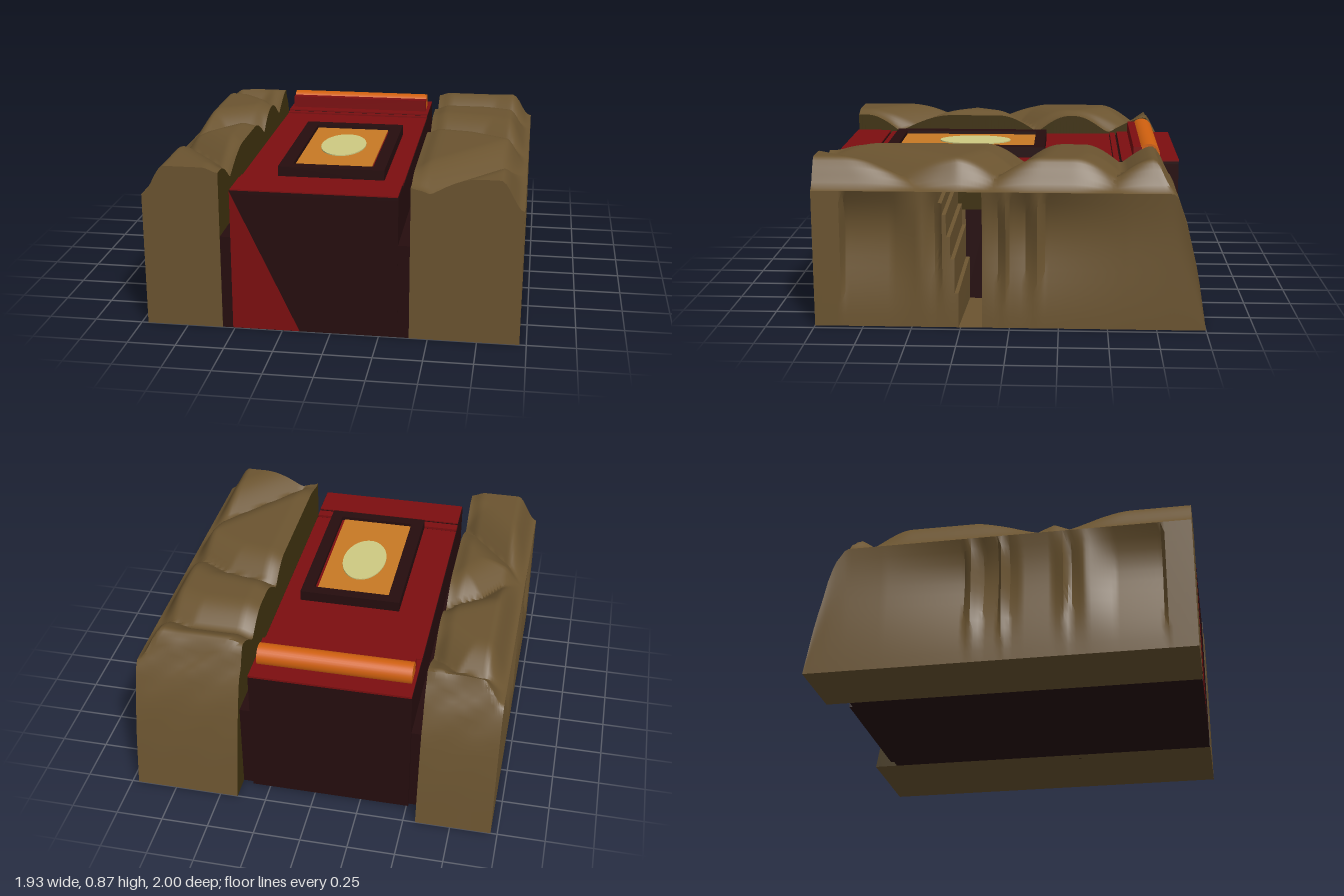
import * as THREE from 'three';
import { toCreasedNormals } from 'three/addons/utils/BufferGeometryUtils.js';

const mat = (name, color, side = THREE.FrontSide) => {
  const m = new THREE.MeshStandardMaterial({ color, side });
  m.name = name;
  return m;
};
const clamp = (v) => Math.min(1, Math.max(0, v));
const smooth = (v) => { const t = clamp(v); return t * t * (3 - 2 * t); };

// piecewise linear lookup through [position, value] pairs
function lookup(pairs, p) {
  for (let i = 1; i < pairs.length; i++) {
    const [a, va] = pairs[i - 1], [b, vb] = pairs[i];
    if (p <= b) return va + (vb - va) * clamp((p - a) / (b - a));
  }
  return pairs[pairs.length - 1][1];
}

// grid surface from f(u, v) -> [x, y, z]
function surface(f, nu, nv, crease = 0.8) {
  const pos = [], idx = [];
  for (let j = 0; j <= nv; j++) for (let i = 0; i <= nu; i++) pos.push(...f(i / nu, j / nv));
  for (let j = 0; j < nv; j++) for (let i = 0; i < nu; i++) {
    const a = j * (nu + 1) + i, b = a + 1, c = a + nu + 1, d = c + 1;
    idx.push(a, c, b, b, c, d);
  }
  const g = new THREE.BufferGeometry();
  g.setAttribute('position', new THREE.Float32BufferAttribute(pos, 3));
  g.setIndex(idx);
  return toCreasedNormals(g, crease);
}

function segmentDistance(x, z, [ax, az, bx, bz]) {
  const dx = bx - ax, dz = bz - az;
  const t = clamp(((x - ax) * dx + (z - az) * dz) / (dx * dx + dz * dz));
  return Math.hypot(x - ax - t * dx, z - az - t * dz);
}

export function createModel() {
  const root = new THREE.Group();
  const rock = mat('rock brown', 0x6b5430, THREE.DoubleSide);
  const olive = mat('dark olive', 0x40320f, THREE.DoubleSide);
  const red = mat('deep red', 0x7d0e10);
  const dark = mat('dark maroon', 0x260d0e);
  const orange = mat('orange', 0xd0600f);
  const amber = mat('amber', 0xc87a24);
  const pale = mat('pale yellow', 0xcfca82);

  const add = (parent, name, geometry, material) => {
    const m = new THREE.Mesh(geometry, material);
    m.name = name;
    parent.add(m);
    return m;
  };
  const box = (name, material, x0, x1, y0, y1, z0, z1) => {
    const m = add(root, name, new THREE.BoxGeometry(x1 - x0, y1 - y0, z1 - z0), material);
    m.position.set((x0 + x1) / 2, (y0 + y1) / 2, (z0 + z1) / 2);
    return m;
  };

  // rock banks: domed tops split by valleys, steep rounded back end
  const backCap = [[-1, 0], [-0.95, 0.3], [-0.9, 0.52], [-0.85, 0.66], [-0.8, 0.75], [-0.76, 0.83], [-0.7, 0.9]];
  // depth of the hollows between the ribs of the outer wall
  const hollows = [[-1, 0], [-0.6, 0.02], [-0.17, 0.06], [-0.15, 0], [-0.08, 0.07], [0, 0.05], [0.02, 0], [0.06, 0.05],
    [0.12, 0.03], [0.28, 0.03], [0.34, 0], [0.37, 0.05], [0.45, 0], [0.6, 0.06], [0.84, 0.07], [0.86, 0], [1, 0]];

  function bank(name, inner, outer, valleys, slot) {
    const group = new THREE.Group();
    group.name = name;
    root.add(group);
    const zAt = (v) => -1 + 2 * v;
    const height = (x, z) => {
      const edge = smooth(Math.abs(outer - x) / 0.12);
      const d = Math.min(...valleys.map((s) => segmentDistance(x, z, s)));
      const dome = 0.35 + 0.65 * Math.sin(clamp(d / 0.2) * Math.PI / 2);
      const lip = 0.025 * (1 - smooth(Math.abs(x - inner) / 0.08));
      const ripple = z < -0.76 ? 0.015 * Math.sin(x * 22 + z * 60) * clamp((z + 1) * 8) : 0;
      return Math.max(0, Math.min(0.71 + 0.155 * edge * dome - lip * edge, lookup(backCap, z) + ripple));
    };
    const span = (u) => inner + (outer - inner) * u;

    add(group, 'rockTop', surface((u, v) => [span(u), height(span(u), zAt(v)), zAt(v)], 30, 100), rock);
    add(group, 'rockInnerWall', surface((u, v) => [inner, u * height(inner, zAt(v)), zAt(v)], 2, 100), olive);
    add(group, 'rockOuterWall', surface((u, v) => {
      const z = zAt(v), y = u * height(outer, z);
      let depth = lookup(hollows, z) * Math.sin(Math.PI * Math.pow(u, 1.9));
      if (slot && z > slot[0] && z < slot[1] + 0.1 * u * u) depth = 0.5;
      return [outer - Math.sign(outer) * depth, y, z];
    }, 12, 100, 0.6), rock);
    add(group, 'rockFront', surface((u, v) => [span(u), v * height(span(u), 1), 1], 30, 1), rock);
    add(group, 'rockBase', surface((u, v) => [span(u), 0, zAt(v)], 1, 1), rock);
  }

  bank('leftRockBank', 0.405, 0.965, [[0.38, -0.57, 0.74, -0.57], [0.74, -0.57, 0.95, -0.5],
    [0.4, -0.07, 0.7, -0.02], [0.7, -0.02, 0.97, 0.13], [0.5, 0.98, 0.97, 0.4]], [0.14, 0.25]);
  bank('rightRockBank', -0.565, -0.965, [[-0.97, -0.7, -0.7, -0.66], [-0.7, -0.66, -0.55, -0.52],
    [-0.56, -0.1, -0.75, 0.02], [-0.75, 0.02, -0.92, 0.26], [-0.95, 0.27, -0.68, 0.6], [-0.68, 0.6, -0.56, 0.75]]);
  // back of the narrow crack in the outer wall
  box('crackLower', dark, 0.462, 0.469, 0, 0.5, 0.14, 0.26);
  box('crackUpper', olive, 0.462, 0.469, 0.5, 0.7, 0.14, 0.35);

  // base slab and central block
  box('baseSlab', dark, -0.565, 0.405, 0, 0.5, -0.87, 0.997);
  box('centralBlock', dark, -0.51, 0.345, 0.002, 0.735, -0.89, 0.998);
  box('frontRim', dark, -0.51, 0.345, 0.735, 0.75, 0.8, 0.998);
  box('backRim', dark, -0.51, 0.345, 0.735, 0.747, -0.89, -0.58);

  // red deck: recessed middle with stepped ends
  box('frontDeck', red, -0.507, 0.342, 0.749, 0.756, 0.795, 0.996);
  box('frontStep', red, -0.507, 0.342, 0.735, 0.75, 0.73, 0.785);
  box('middleDeck', red, -0.507, 0.342, 0.735, 0.742, -0.535, 0.718);
  box('backStep', red, -0.507, 0.342, 0.735, 0.749, -0.57, -0.54);
  box('backDeck', red, -0.508, 0.343, 0.744, 0.755, -0.892, -0.582);

  // red wedge on the front face
  const wedge = new THREE.Shape([[-0.51, 0.002], [-0.16, 0.002], [-0.51, 0.745]].map(([x, y]) => new THREE.Vector2(x, y)));
  add(root, 'frontWedge', new THREE.ShapeGeometry(wedge), red).position.z = 1;

  // raised dark frame around the panel
  const rect = (T, x0, x1, z0, z1) => new T().moveTo(x0, -z1).lineTo(x1, -z1).lineTo(x1, -z0).lineTo(x0, -z0).closePath();
  const frameShape = rect(THREE.Shape, -0.315, 0.24, -0.16, 0.72);
  frameShape.holes.push(rect(THREE.Path, -0.245, 0.175, -0.1, 0.66));
  const frame = add(root, 'panelFrame', new THREE.ExtrudeGeometry(frameShape, { depth: 0.06, bevelEnabled: false }), dark);
  frame.rotation.x = -Math.PI / 2;
  frame.position.y = 0.74;
  box('panelBacking', red, -0.245, 0.175, 0.74, 0.775, -0.1, 0.66);
  box('panel', amber, -0.243, 0.16, 0.775, 0.783, -0.098, 0.658);
  const oval = add(root, 'panelOval', new THREE.CylinderGeometry(1, 1, 0.006, 48), pale);
  oval.scale.set(0.122, 1, 0.202);
  oval.position.set(-0.043, 0.786, 0.242);

  // orange roll with a red lip in front
  const roll = add(root, 'roll', new THREE.CylinderGeometry(0.06, 0.06, 0.815, 32), orange);
  roll.rotation.z = Math.PI / 2;
  roll.position.set(-0.083, 0.78, -0.73);
  box('rollLip', red, -0.49, 0.325, 0.75, 0.822, -0.69, -0.645);

  return root;
}
